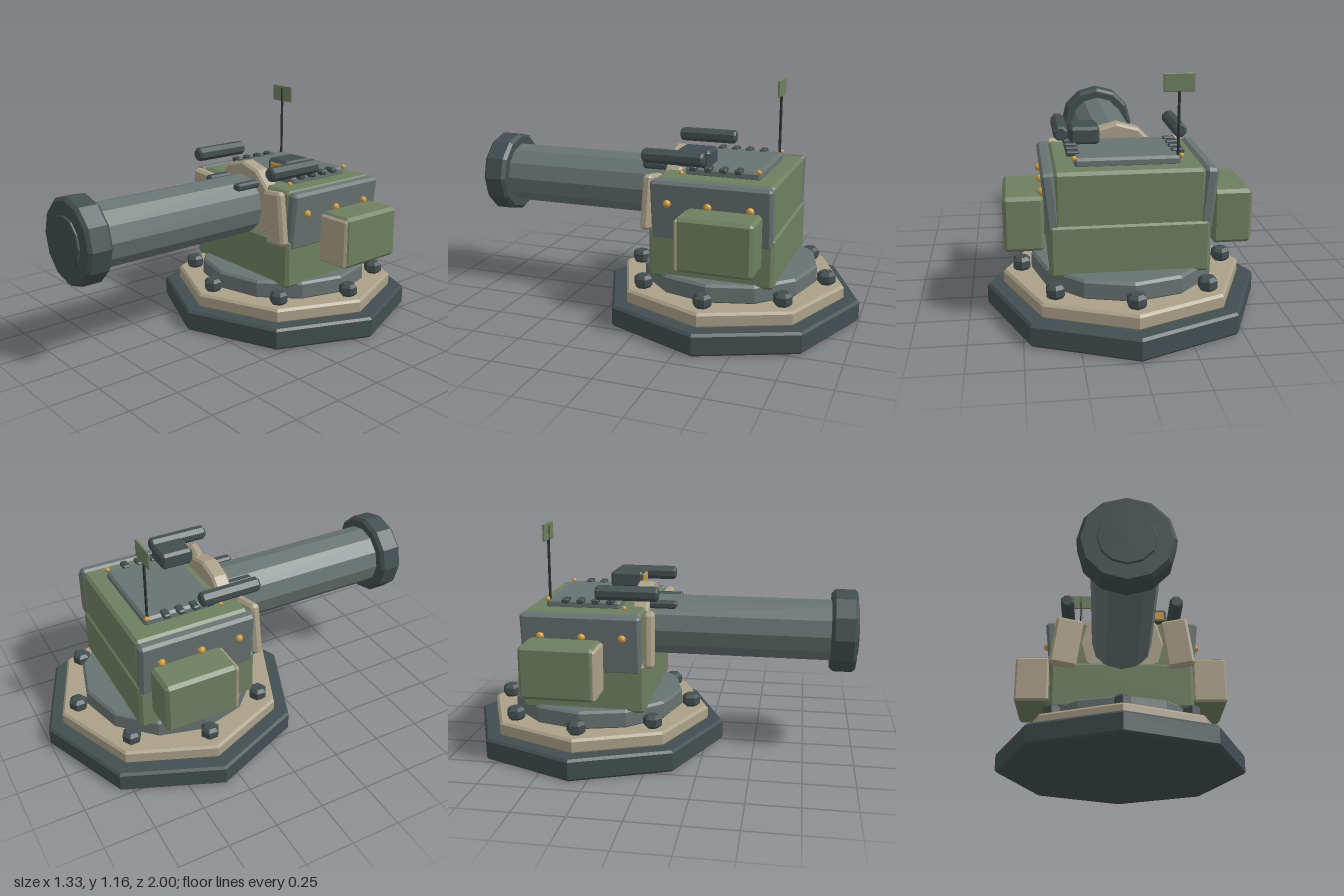
import * as THREE from 'three';
import { ConvexGeometry } from 'three/addons/geometries/ConvexGeometry.js';

const paint = (name, color) => {
  const m = new THREE.MeshStandardMaterial({ color, flatShading: true });
  m.name = name;
  return m;
};

// Box with chamfered edges, centred on the origin
function chamferBox(w, h, d, c) {
  const pts = [];
  for (const sx of [-1, 1]) for (const sy of [-1, 1]) for (const sz of [-1, 1]) {
    const x = w / 2, y = h / 2, z = d / 2;
    pts.push(
      new THREE.Vector3(sx * x, sy * (y - c), sz * (z - c)),
      new THREE.Vector3(sx * (x - c), sy * y, sz * (z - c)),
      new THREE.Vector3(sx * (x - c), sy * (y - c), sz * z));
  }
  return new ConvexGeometry(pts);
}

// Upright prism with chamfered rims, from y = 0 to y = h
function prism(r, h, sides, c) {
  const profile = [[0, 0], [r - c, 0], [r, c], [r, h - c], [r - c, h], [0, h]];
  return new THREE.LatheGeometry(profile.map(p => new THREE.Vector2(...p)), sides);
}

export function createModel() {
  const model = new THREE.Group();
  model.name = 'gunTurret';

  const dark = paint('dark steel', 0x434e50);
  const grey = paint('grey steel', 0x687371);
  const tan = paint('tan armour', 0xaba189);
  const green = paint('olive green', 0x6f7f60);
  const amber = paint('amber', 0xc8963f);
  const black = paint('antenna black', 0x2c3335);

  function add(name, geometry, material, x, y, z) {
    const mesh = new THREE.Mesh(geometry, material);
    mesh.name = name;
    mesh.position.set(x, y, z);
    model.add(mesh);
    return mesh;
  }
  // Box given by its extents on each axis
  const box = (name, mat, [x0, x1], [y0, y1], [z0, z1], c) =>
    add(name, chamferBox(x1 - x0, y1 - y0, z1 - z0, c), mat,
      (x0 + x1) / 2, (y0 + y1) / 2, (z0 + z1) / 2);
  // Prism lying along z, starting at z0
  const tube = (name, mat, r, z0, z1, sides, c, x, y, turn = 0) =>
    add(name, prism(r, z1 - z0, sides, c).rotateY(turn).rotateX(Math.PI / 2), mat, x, y, z0);

  // Stepped base with a ring of bolts
  const cz = -0.335;
  add('basePlate', prism(0.665, 0.11, 8, 0.012), dark, 0, 0, cz);
  add('baseStep', prism(0.585, 0.075, 8, 0.012), tan, 0, 0.105, cz);
  add('turntable', prism(0.447, 0.095, 12, 0.012), grey, 0, 0.175, cz);
  for (let i = 0; i < 8; i++) {
    const a = i * Math.PI / 4;
    add('baseBolt', prism(0.047, 0.067, 6, 0.016), dark,
      0.495 * Math.sin(a), 0.178, cz + 0.495 * Math.cos(a));
  }

  // Turret body
  box('lowerHull', green, [-0.37, 0.37], [0.25, 0.5], [-0.64, -0.02], 0.015);
  box('upperHull', green, [-0.345, 0.345], [0.48, 0.745], [-0.63, -0.045], 0.015);
  box('roofHatch', grey, [-0.245, 0.245], [0.735, 0.783], [-0.54, -0.165], 0.012);

  // Mirrored side parts
  for (const s of [-1, 1]) {
    const span = (a, b) => (s > 0 ? [a, b] : [-b, -a]);

    const plate = add('sidePlate', chamferBox(0.06, 0.295, 0.595, 0.014), grey, s * 0.36, 0.597, -0.335);
    plate.rotation.z = -s * 0.1;
    for (const z of [-0.125, -0.325, -0.53]) {
      add('sideRivet', new THREE.IcosahedronGeometry(0.02, 1), amber, s * 0.396, 0.633, z);
    }

    box('sideBin', green, span(0.39, 0.575), [0.365, 0.625], [-0.59, -0.225], 0.016);
    box('binFront', tan, span(0.392, 0.573), [0.367, 0.615], [-0.24, -0.217], 0.01);

    const cheek = add('cheekArmour', chamferBox(0.145, 0.27, 0.05, 0.014), tan, s * 0.292, 0.608, -0.01);
    cheek.rotation.set(0, -s * 0.13, s * 0.14);

    tube('roofTube', dark, 0.037, -0.275, 0.035, 8, 0.01, s * 0.29, 0.835, Math.PI / 8);
    box('barrelLug', dark, span(0.088, 0.136), [0.728, 0.765], [-0.05, 0.1], 0.01);

    // Hatch clamps and corner rivets
    for (let i = 0; i < 4; i++) {
      add('hatchClamp', chamferBox(0.062, 0.024, 0.036, 0.006), dark, s * 0.246, 0.782, -0.435 + i * 0.075);
    }
    for (const z of [-0.53, -0.145]) {
      add('hatchRivet', new THREE.IcosahedronGeometry(0.013, 1), amber, s * 0.246, z < -0.3 ? 0.783 : 0.75, z);
    }
  }

  // Gun barrel, collar and muzzle
  const gy = 0.62;
  tube('barrelCollar', tan, 0.222, -0.12, -0.035, 12, 0.012, 0, gy);
  tube('barrel', grey, 0.157, -0.08, 0.88, 12, 0.005, 0, gy);
  tube('muzzle', dark, 0.212, 0.865, 0.99, 12, 0.016, 0, gy);
  tube('bore', dark, 0.128, 0.98, 1.0, 12, 0.003, 0, gy);

  // Gun sight with amber lens
  box('sightBody', dark, [0.103, 0.247], [0.78, 0.867], [-0.288, -0.118], 0.014);
  box('sightLens', amber, [0.128, 0.232], [0.798, 0.851], [-0.13, -0.112], 0.005);

  // Antenna with flag plate
  add('antennaRod', new THREE.CylinderGeometry(0.007, 0.007, 0.38, 6), black, -0.232, 0.96, -0.522);
  box('antennaFlag', green, [-0.303, -0.158], [1.077, 1.162], [-0.53, -0.518], 0.003);

  return model;
}
